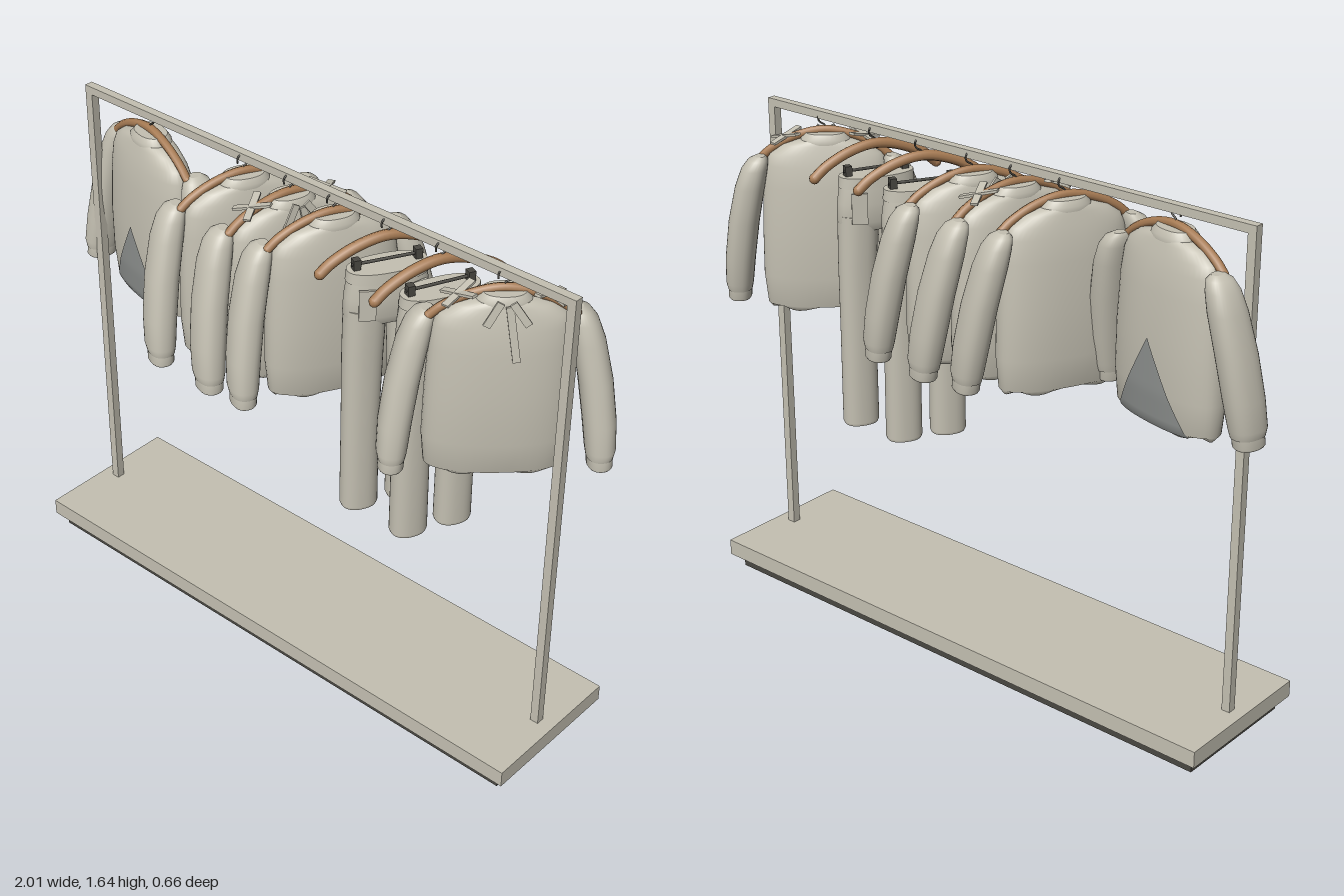
import * as THREE from 'three';

const mat = (name, color, side = THREE.FrontSide) => {
  const m = new THREE.MeshStandardMaterial({ color, side });
  m.name = name;
  return m;
};
const stone = mat('stone', 0xc4c0b2);
const dark = mat('dark metal', 0x4a4842);
const wood = mat('wood', 0xa87c54);
const grey = mat('grey panel', 0x8f9290, THREE.DoubleSide);

const POWER = 2.3; // roundness of the cross-sections
const bend = (v) => Math.sign(v) * Math.abs(v) ** (2 / POWER);

function add(parent, name, geometry, material, x = 0, y = 0, z = 0) {
  const m = new THREE.Mesh(geometry, material);
  m.name = name;
  m.position.set(x, y, z);
  parent.add(m);
  return m;
}

// Closed loft through sections [y, cx, cz, halfWidth, halfDepth], bottom to top
function loft(sections, wave = 0, segs = 32) {
  const pos = [], idx = [];
  const ring = ([y, cx, cz, w, d], amp) => {
    for (let j = 0; j < segs; j++) {
      const a = (j / segs) * Math.PI * 2;
      pos.push(cx + w * bend(Math.cos(a)), y + amp * (1 - Math.cos(a * 6)), cz + d * bend(Math.sin(a)));
    }
  };
  sections.forEach((s, i) => ring(s, i === 0 ? wave : 0));
  for (let i = 0; i < sections.length - 1; i++) {
    for (let j = 0; j < segs; j++) {
      const k = (j + 1) % segs, a = i * segs, b = a + segs;
      idx.push(a + j, b + j, a + k, a + k, b + j, b + k);
    }
  }
  // end caps
  [[sections[0], wave, false], [sections[sections.length - 1], 0, true]].forEach(([s, amp, top]) => {
    const base = pos.length / 3;
    ring(s, amp);
    pos.push(s[1], s[0] + amp, s[2]);
    for (let j = 0; j < segs; j++) {
      const k = (j + 1) % segs;
      if (top) idx.push(base + segs, base + k, base + j);
      else idx.push(base + segs, base + j, base + k);
    }
  });
  const g = new THREE.BufferGeometry();
  g.setAttribute('position', new THREE.Float32BufferAttribute(pos, 3));
  g.setIndex(idx);
  g.computeVertexNormals();
  return g;
}

const tube = (points, r, segs = 20) => new THREE.TubeGeometry(
  new THREE.CatmullRomCurve3(points.map((p) => new THREE.Vector3(...p))), segs, r, 8);

const TORSO = [
  [0.98, 0, 0, 0.19, 0.06], [1.0, 0, 0, 0.205, 0.076], [1.1, 0, 0, 0.214, 0.086],
  [1.25, 0, 0, 0.211, 0.088], [1.4, 0, 0, 0.203, 0.08], [1.47, 0, 0, 0.194, 0.07],
  [1.505, 0, 0, 0.178, 0.062], [1.535, 0, 0, 0.135, 0.055], [1.55, 0, 0, 0.085, 0.05],
];

// Depth of the torso surface at a given x and y
function torsoDepth(x, y) {
  let i = 0;
  while (i < TORSO.length - 2 && y > TORSO[i + 1][0]) i++;
  const [a, b] = [TORSO[i], TORSO[i + 1]];
  const t = (y - a[0]) / (b[0] - a[0]);
  const w = a[3] + (b[3] - a[3]) * t, d = a[4] + (b[4] - a[4]) * t;
  return d * Math.max(0, 1 - Math.abs(x / w) ** POWER) ** (1 / POWER);
}

// Triangular panel that follows the torso
function trianglePanel(side) {
  const g = new THREE.PlaneGeometry(1, 1, 14, 16);
  const p = g.attributes.position;
  for (let i = 0; i < p.count; i++) {
    const v = p.getY(i) + 0.5;
    const x = p.getX(i) * 0.3 * (1 - v) * side, y = 0.99 + v * 0.27;
    p.setXYZ(i, x, y, side * (torsoDepth(x, y) + 0.004));
  }
  g.computeVertexNormals();
  return g;
}

function addHanger(g, radius) {
  add(g, 'hangerArms', tube([[-0.205, 1.49, 0], [-0.17, 1.52, 0], [-0.09, 1.56, 0], [0, 1.578, 0],
    [0.09, 1.56, 0], [0.17, 1.52, 0], [0.205, 1.49, 0]], radius, 30), wood);
  for (const s of [-1, 1]) add(g, 'hangerEnd', new THREE.SphereGeometry(radius, 10, 8), wood, s * 0.205, 1.49, 0);
  add(g, 'hangerHook', tube([[0, 1.575, 0], [0, 1.592, 0], [0.018, 1.605, 0], [0.02, 1.622, 0],
    [0, 1.637, 0], [-0.019, 1.622, 0], [-0.019, 1.605, 0]], 0.003), dark);
}

function makeTop({ panels, ties }) {
  const g = new THREE.Group();
  addHanger(g, 0.014);
  add(g, 'torso', loft(TORSO, 0.008, 48), stone);
  add(g, 'collar', loft([[1.54, 0, 0, 0.08, 0.054], [1.555, 0, 0, 0.078, 0.054], [1.572, 0, 0, 0.062, 0.044]]), stone);
  for (const s of [-1, 1]) {
    add(g, 'sleeve', loft([
      [1.035, s * 0.298, 0.032, 0.04, 0.054], [1.06, s * 0.298, 0.03, 0.045, 0.06],
      [1.15, s * 0.29, 0.016, 0.049, 0.064], [1.28, s * 0.271, -0.002, 0.05, 0.064],
      [1.4, s * 0.245, -0.018, 0.048, 0.06], [1.46, s * 0.228, -0.024, 0.042, 0.052],
      [1.49, s * 0.215, -0.026, 0.032, 0.04], [1.502, s * 0.208, -0.026, 0.016, 0.022]]), stone);
    add(g, 'cuff', loft([[1.0, s * 0.3, 0.036, 0.034, 0.046], [1.006, s * 0.3, 0.036, 0.038, 0.05],
      [1.04, s * 0.298, 0.032, 0.038, 0.051]]), stone);
    if (panels) add(g, 'trianglePanel', trianglePanel(s), grey);
  }
  if (ties) {
    // crossed shoulder straps
    for (const s of [-1, 1]) {
      for (const t of [-1, 1]) {
        const strap = add(g, 'shoulderStrap', new THREE.BoxGeometry(0.12, 0.008, 0.022), stone, s * 0.125, 1.56, 0);
        strap.rotation.set(0, t * 0.8, -s * 0.25);
      }
    }
    // neck ribbons
    [[-0.035, 1.535, -0.5, 0.08], [0.04, 1.535, 0.6, 0.08], [0.022, 1.47, 0.15, 0.17]].forEach(([x, y, turn, len]) => {
      const ribbon = add(g, 'neckRibbon', new THREE.BoxGeometry(0.022, len, 0.008), stone, x, y, 0.074);
      ribbon.rotation.set(-0.12, 0, turn);
    });
  }
  return g;
}

function makeTrousers() {
  const g = new THREE.Group();
  addHanger(g, 0.017);
  add(g, 'clipBar', tube([[-0.11, 1.5, 0], [0, 1.5, 0], [0.11, 1.5, 0]], 0.005), dark);
  add(g, 'hips', loft([[1.31, 0, 0, 0.12, 0.045], [1.34, 0, 0, 0.133, 0.058], [1.4, 0, 0, 0.13, 0.06],
    [1.455, 0, 0, 0.122, 0.055]]), stone);
  add(g, 'waistband', loft([[1.45, 0, 0, 0.126, 0.058], [1.485, 0, 0, 0.123, 0.055]]), stone);
  for (const s of [-1, 1]) {
    add(g, 'clip', new THREE.BoxGeometry(0.022, 0.05, 0.024), dark, s * 0.095, 1.492, 0);
    add(g, 'leg', loft([[0.64, s * 0.075, 0, 0.055, 0.043], [0.65, s * 0.075, 0, 0.059, 0.046],
      [0.95, s * 0.075, 0, 0.058, 0.045], [1.2, s * 0.071, 0, 0.062, 0.049],
      [1.36, s * 0.066, 0, 0.064, 0.052]]), stone);
    for (const f of [-1, 1]) {
      const pocket = add(g, 'pocket', new THREE.BoxGeometry(0.05, 0.1, 0.008), stone, s * 0.08, 1.39, f * 0.056);
      pocket.rotation.y = s * f * 0.3;
    }
  }
  return g;
}

export function createModel() {
  const model = new THREE.Group();
  model.name = 'clothesRack';

  // stand
  add(model, 'plinth', new THREE.BoxGeometry(1.91, 0.045, 0.445), dark, 0.008, 0.0225, -0.008);
  add(model, 'basePlate', new THREE.BoxGeometry(1.975, 0.055, 0.505), stone, 0.01, 0.0725, -0.01);
  for (const x of [-0.922, 0.937]) add(model, 'post', new THREE.BoxGeometry(0.028, 1.515, 0.028), stone, x, 0.8575, -0.012);
  add(model, 'rail', new THREE.BoxGeometry(1.887, 0.026, 0.028), stone, 0.0075, 1.627, -0.012);

  // garments along the rail: name, x, turn in degrees, builder
  [
    ['panelSweater', -0.66, -13, () => makeTop({ panels: true })],
    ['sweater', -0.265, 65, () => makeTop({})],
    ['ribbonBlouse', -0.08, 71, () => makeTop({ ties: true })],
    ['sweater', 0.09, 63, () => makeTop({})],
    ['trousers', 0.295, 62, makeTrousers],
    ['trousers', 0.49, 66, makeTrousers],
    ['ribbonBlouse', 0.71, 43, () => makeTop({ ties: true })],
  ].forEach(([name, x, turn, make]) => {
    const g = make();
    g.name = name;
    g.position.set(x, 0, -0.01);
    g.rotation.y = THREE.MathUtils.degToRad(turn);
    model.add(g);
  });
  return model;
}
